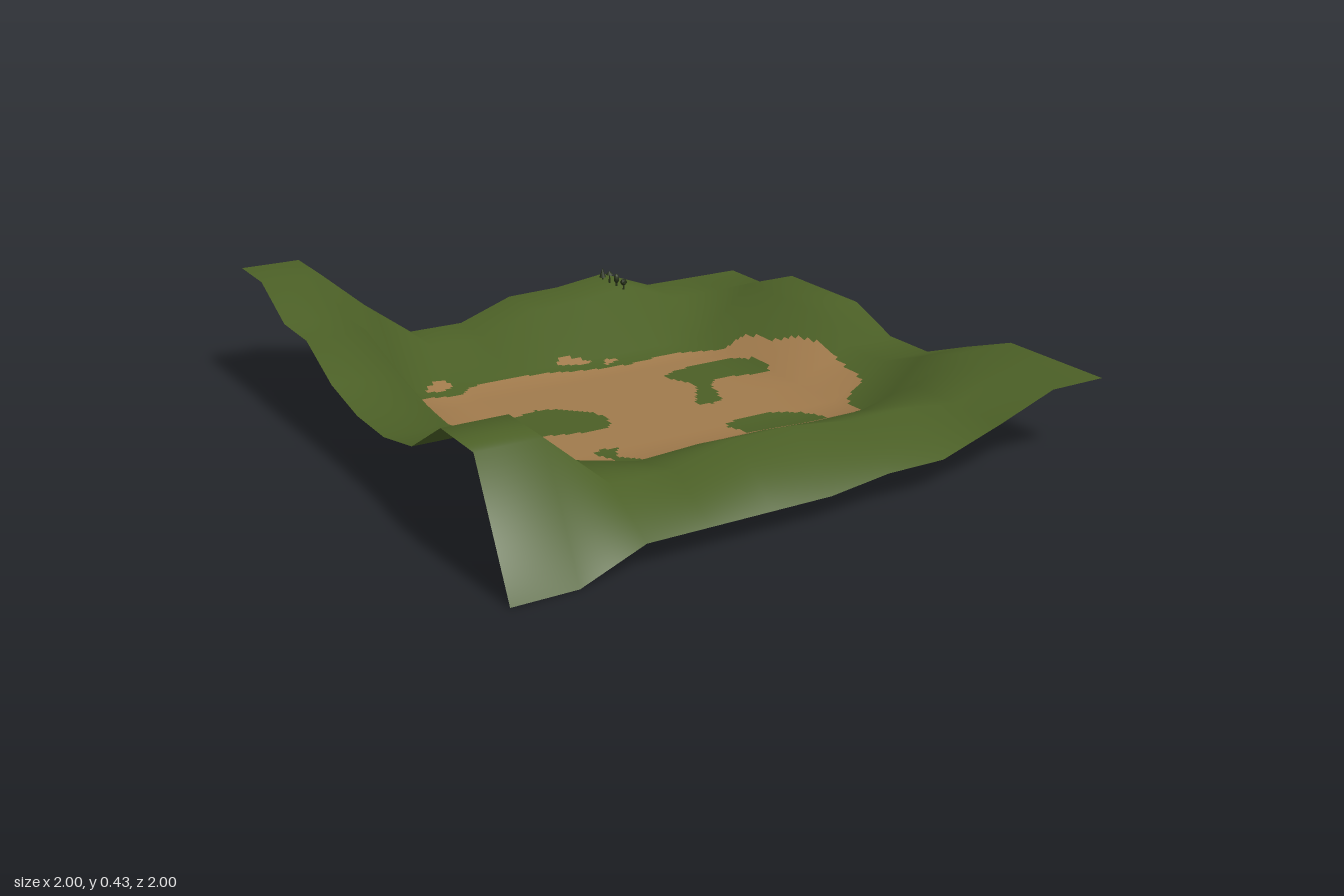
import * as THREE from 'three';

const N = 10;   // coarse cells per side
const SUB = 16; // fine cells per coarse cell

const material = (name, color, side = THREE.FrontSide) =>
  Object.assign(new THREE.MeshStandardMaterial({ color, side }), { name });

// Ridge heights in hundredths: side ridges run back to front, the others left to right
const LEFT = [40.5, 40.5, 31.5, 31.5, 23, 19.5, 19.5, 23.5, 35.5, 35.5, 0];
const RIGHT = [10.5, 10.5, 18, 18, 18, 10.5, 10.5, 18, 25, 25, 25];
const BACK = [23, 8, 8, 15, 15.5, 18, 10.5];
const FRONT_INNER = [18, 13.5, 14.5, 14.5, 13.5, 13.5, 18];
const FRONT_CREST = [18, 18, 23, 23, 20.5, 20.5, 18];
const FRONT_EDGE = [8, 8, 8, 8, 10.5, 10.5, 18];

// Ridges surround a flat basin at height zero
function heightAt(col, row) {
  if (col < 2) return LEFT[row] / 100;
  if (col > 8) return RIGHT[row] / 100;
  if (row < 2) return BACK[col - 2] / 100;
  if (row < 8) return 0;
  return [FRONT_INNER, FRONT_CREST, FRONT_EDGE][row - 8][col - 2] / 100;
}

// Closed smooth outline through a few x, z points in hundredths
function outline(...p) {
  const points = [];
  for (let i = 0; i < p.length; i += 2) points.push(new THREE.Vector3(p[i] / 100, 0, p[i + 1] / 100));
  return new THREE.CatmullRomCurve3(points, true).getPoints(points.length * 5);
}

function contains(points, x, z) {
  let inside = false;
  points.forEach((a, i) => {
    const b = points[(i + 1) % points.length];
    if ((a.z > z) !== (b.z > z) && x < a.x + (b.x - a.x) * (z - a.z) / (b.z - a.z)) inside = !inside;
  });
  return inside;
}

// Bare ground is the basin less its grass patches, plus small spots behind it
function bareGroundTest() {
  const basin = outline(-64, -53, -44, -50, -38, -55, -10, -55, 2, -51, 20, -48, 40, -50, 54, -46,
    65, -42, 68, -26, 75, -8, 73, 10, 70, 22, 63, 24, 60, 42, 52, 56, 35, 61, 15, 61, 0, 65,
    -16, 62, -30, 47, -45, 40, -57, 17, -62, -3, -67, -12);
  const patches = [
    outline(-52, -20, -42, -20, -27, -23, -13, -9, -16, 2, -33, 0, -50, -8),
    outline(25, -30, 34, -34, 59, -33, 60, -17, 37, -18, 28, 0, 20, -1, 29, -18),
    outline(17, 20, 36, 18, 48, 28, 47, 42, 30, 49, 20, 37, 11, 35, 19, 30),
    outline(-14, 58, -14, 38, -26, 25, -23, 19, -31, 19, -28, 30, -32, 38, -28, 55),
  ];
  const spots = [
    outline(-53, -58, -48, -62, -42, -61, -45, -57),
    outline(-2, -61, 5, -62, 11, -58, 8, -56),
    outline(13, -51, 17, -57, 20, -55),
  ];
  const any = (list, x, z) => list.some((o) => contains(o, x, z));
  return (x, z) => (contains(basin, x, z) && !any(patches, x, z)) || any(spots, x, z);
}

// Coarse grid that supplies positions and smooth normals
function coarseGrid() {
  const geo = new THREE.PlaneGeometry(2, 2, N, N).rotateX(-Math.PI / 2);
  const pos = geo.attributes.position;
  for (let k = 0; k < pos.count; k++) {
    const row = Math.floor(k / (N + 1)), col = k % (N + 1);
    pos.setY(k, heightAt(col, row));
    if (row === N && col < 8) pos.setZ(k, 0.985);
  }
  geo.computeVertexNormals();
  return geo;
}

// Finely divided terrain, split by colour into two meshes
function addTerrain(group, grass, dirt) {
  const coarse = coarseGrid();
  const isBare = bareGroundTest();
  const size = N * SUB;
  const sample = (attr, u, v) => {
    const i = Math.min(N - 1, Math.floor(u)), j = Math.min(N - 1, Math.floor(v));
    const at = (c, r) => new THREE.Vector3().fromBufferAttribute(attr, r * (N + 1) + c);
    const back = at(i, j).lerp(at(i + 1, j), u - i);
    return back.lerp(at(i, j + 1).lerp(at(i + 1, j + 1), u - i), v - j);
  };
  const positions = [], normals = [], grassIndex = [], dirtIndex = [];
  for (let r = 0; r <= size; r++) {
    for (let c = 0; c <= size; c++) {
      positions.push(...sample(coarse.attributes.position, c / SUB, r / SUB));
      normals.push(...sample(coarse.attributes.normal, c / SUB, r / SUB).normalize());
    }
  }
  for (let r = 0; r < size; r++) {
    for (let c = 0; c < size; c++) {
      const a = r * (size + 1) + c, b = a + 1, d = a + size + 1, e = d + 1;
      const bare = isBare((c + 0.5) * 2 / size - 1, (r + 0.5) * 2 / size - 1);
      (bare ? dirtIndex : grassIndex).push(a, d, b, b, d, e);
    }
  }
  const position = new THREE.Float32BufferAttribute(positions, 3);
  const normal = new THREE.Float32BufferAttribute(normals, 3);
  for (const [name, index, mat] of [['grassTerrain', grassIndex, grass], ['bareGround', dirtIndex, dirt]]) {
    const geo = new THREE.BufferGeometry();
    geo.setAttribute('position', position);
    geo.setAttribute('normal', normal);
    geo.setIndex(index);
    const mesh = new THREE.Mesh(geo, mat);
    mesh.name = name;
    group.add(mesh);
  }
}

// Tiny tree: thin trunk with a crown of the given shape
function tree(crownGeometry, crownY, mat) {
  const g = new THREE.Group();
  g.name = 'tinyTree';
  const trunk = new THREE.Mesh(new THREE.CylinderGeometry(0.002, 0.003, 0.03, 6), mat);
  trunk.name = 'trunk';
  trunk.position.y = 0.015;
  const crown = new THREE.Mesh(crownGeometry, mat);
  crown.name = 'crown';
  crown.position.y = crownY;
  g.add(trunk, crown);
  return g;
}

export function createModel() {
  const group = new THREE.Group();
  group.name = 'valleyTerrain';
  const grass = material('grassGreen', 0x4b5f26, THREE.DoubleSide);
  const dirt = material('dirtTan', 0xa07a4c, THREE.DoubleSide);
  const foliage = material('darkFoliage', 0x263018);
  addTerrain(group, grass, dirt);

  // Row of four tiny trees hovering above the basin
  const crowns = [
    [new THREE.IcosahedronGeometry(0.012, 0), 0.025],
    [new THREE.SphereGeometry(0.01, 6, 5).scale(1, 1.6, 1), 0.026],
    [new THREE.ConeGeometry(0.013, 0.012, 6), 0.034],
    [new THREE.ConeGeometry(0.011, 0.032, 6), 0.024],
  ];
  crowns.forEach(([geo, y], i) => {
    const t = tree(geo, y, foliage);
    t.position.set(-0.003, 0.392, -0.152 - i * 0.046);
    group.add(t);
  });
  return group;
}
